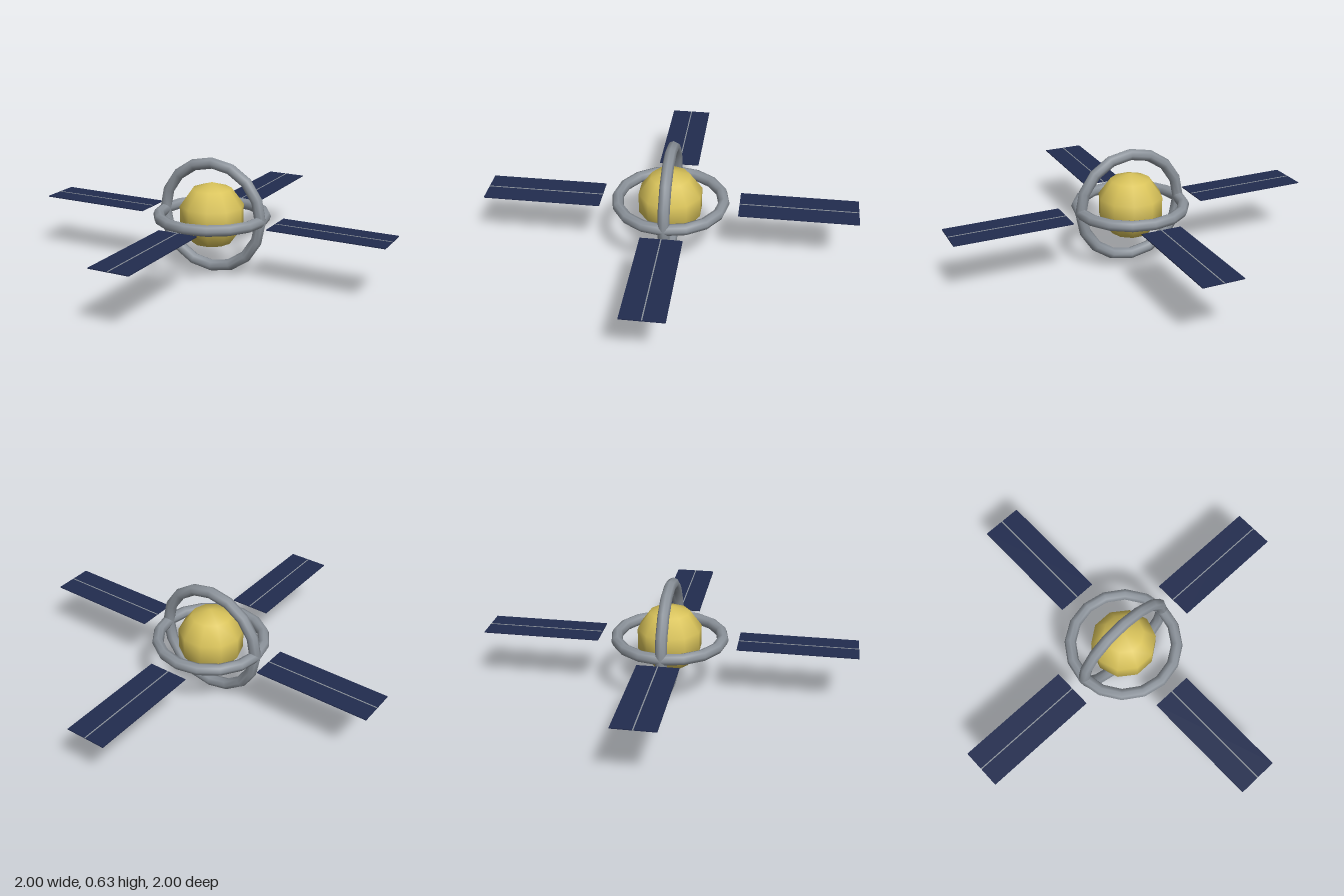
import * as THREE from 'three';

export function createModel() {
  const model = new THREE.Group();
  const paint = (name, color) => {
    const m = new THREE.MeshStandardMaterial({ color });
    m.name = name;
    return m;
  };
  const gold = paint('gold', 0xd9c35a);
  const grey = paint('grey', 0x8c939b);
  const navy = paint('navy', 0x222c4f);

  const add = (name, geometry, material, parent) => {
    const mesh = new THREE.Mesh(geometry, material);
    mesh.name = name;
    parent.add(mesh);
    return mesh;
  };

  // Everything is centred on the core
  const body = new THREE.Group();
  body.name = 'satellite';
  body.position.y = 0.317;
  model.add(body);

  // Low-poly golden core
  add('core', new THREE.SphereGeometry(0.182, 10, 5), gold, body);

  // Two crossed rings, one upright and one level
  const ring = new THREE.TorusGeometry(0.286, 0.031, 8, 16);
  add('uprightRing', ring, grey, body);
  add('levelRing', ring, grey, body).rotation.x = Math.PI / 2;

  // Four solar panels, each with a thin spar along its middle
  const inner = 0.37, outer = 1;
  const length = outer - inner, middle = (inner + outer) / 2;
  for (let i = 0; i < 4; i++) {
    const wing = new THREE.Group();
    wing.name = 'solarWing';
    wing.rotation.y = (i * Math.PI) / 2;
    add('solarPanel', new THREE.BoxGeometry(length, 0.005, 0.22), navy, wing).position.x = middle;
    add('panelSpar', new THREE.BoxGeometry(length, 0.008, 0.006), grey, wing).position.x = middle;
    body.add(wing);
  }
  return model;
}
